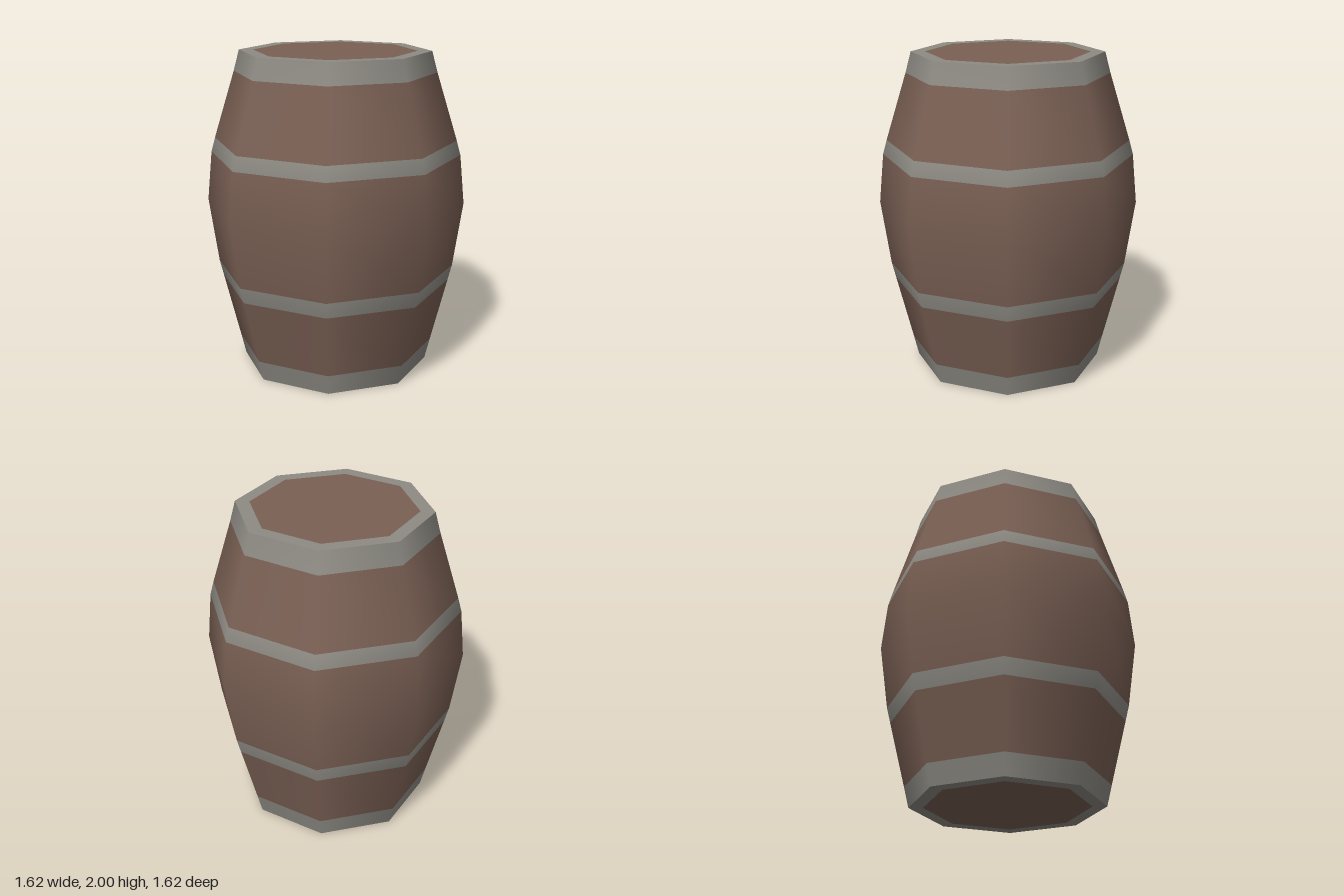
import * as THREE from 'three';

const SIDES = 8;
const wood = new THREE.MeshStandardMaterial({ color: 0x7a6054 });
wood.name = 'brown wood';
const iron = new THREE.MeshStandardMaterial({ color: 0x8e8b84 });
iron.name = 'grey iron';

// Barrel outline from bottom to top: [radius, height]
const profile = [
  [0.59, 0], [0.622, 0.13], [0.725, 0.54], [0.75, 0.64], [0.81, 1.05],
  [0.78, 1.36], [0.755, 1.45], [0.625, 1.87], [0.59, 2],
];

// Horizontal bands: name, first and last outline point, material
const bands = [
  ['bottomHoop', 0, 1, iron],
  ['lowerStaves', 1, 2, wood],
  ['lowerHoop', 2, 3, iron],
  ['middleStaves', 3, 5, wood],
  ['upperHoop', 5, 6, iron],
  ['upperStaves', 6, 7, wood],
  ['topHoop', 7, 8, iron],
];

function part(name, geometry, material) {
  const mesh = new THREE.Mesh(geometry, material);
  mesh.name = name;
  return mesh;
}

// Cut one band out of the full wall, keeping the wall's smooth normals
function bandGeometry(wall, from, to) {
  const geometry = wall.clone();
  const rows = profile.length - 1;
  const index = [];
  for (let side = 0; side < SIDES; side++) {
    const start = (side * rows + from) * 6;
    index.push(...wall.index.array.slice(start, start + (to - from) * 6));
  }
  geometry.setIndex(index);
  return geometry;
}

// Flat end: wooden lid inside an iron rim
function createEnd(name, y, tilt) {
  const end = new THREE.Group();
  end.name = name;
  end.add(
    part('lid', new THREE.CircleGeometry(0.503, SIDES), wood),
    part('rim', new THREE.RingGeometry(0.503, 0.59, SIDES), iron),
  );
  end.rotation.x = tilt;
  end.position.y = y;
  return end;
}

export function createModel() {
  const barrel = new THREE.Group();
  barrel.name = 'barrel';

  const wall = new THREE.LatheGeometry(profile.map(([r, y]) => new THREE.Vector2(r, y)), SIDES);
  for (const [name, from, to, material] of bands) {
    barrel.add(part(name, bandGeometry(wall, from, to), material));
  }

  barrel.add(createEnd('topEnd', 2, -Math.PI / 2), createEnd('bottomEnd', 0, Math.PI / 2));
  return barrel;
}
